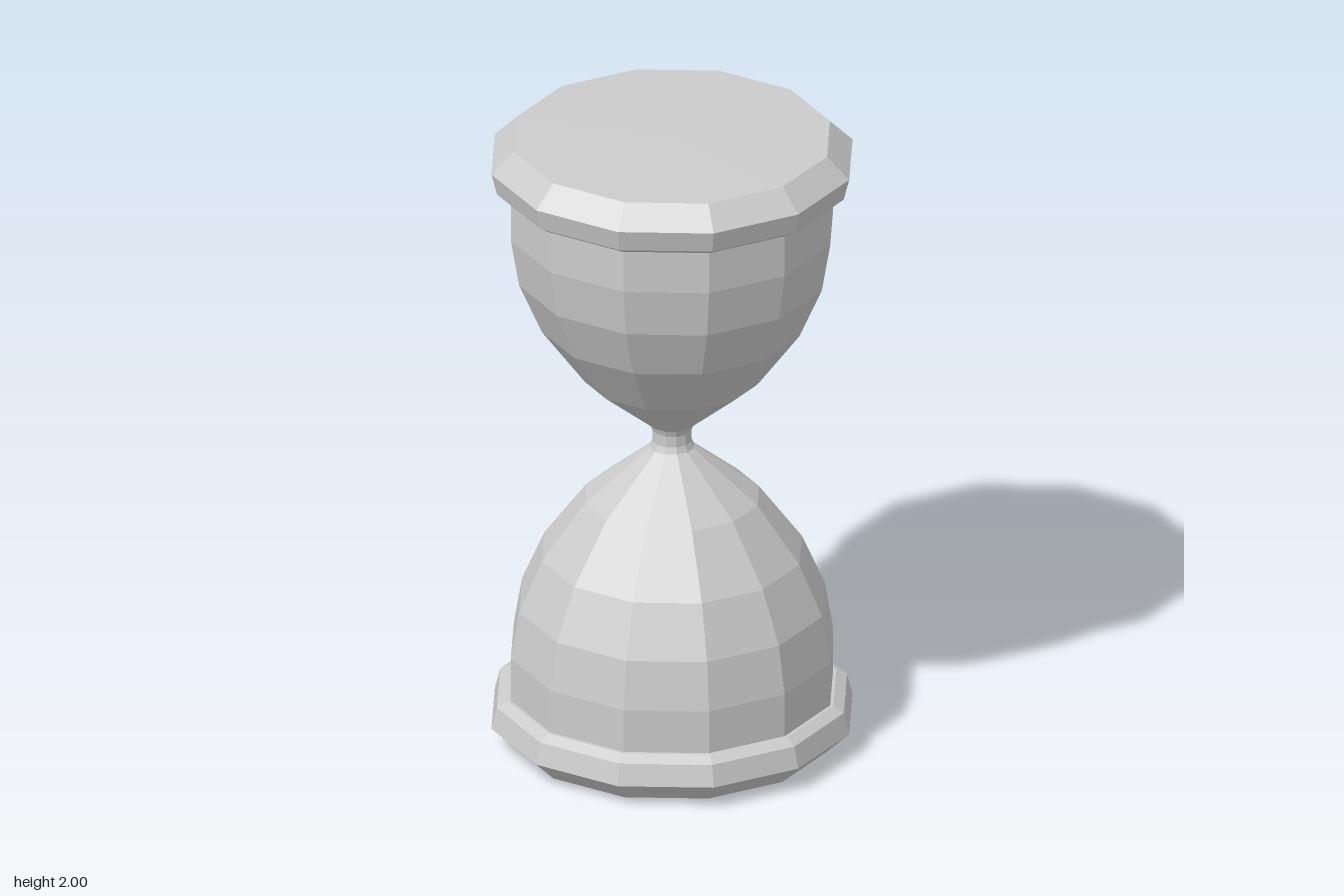
import * as THREE from 'three';

const SIDES = 12;
const material = new THREE.MeshStandardMaterial({ color: 0xcccccc, flatShading: true });

// Faceted solid of revolution from [radius, y] pairs listed bottom to top
function turned(name, profile) {
  const points = profile.map(([r, y]) => new THREE.Vector2(r, y));
  const mesh = new THREE.Mesh(new THREE.LatheGeometry(points, SIDES), material);
  mesh.name = name;
  return mesh;
}

// Flip a profile about the waist at y = 1, keeping it bottom to top
const mirrored = (profile) => profile.map(([r, y]) => [r, 2 - y]).reverse();

export function createModel() {
  const group = new THREE.Group();
  group.name = 'hourglass';

  // End cap: faintly domed face, bevelled rim, small step in to the glass
  const cap = [[0, 0], [0.49, 0.007], [0.56, 0.075], [0.543, 0.143], [0.51, 0.163], [0.5, 0.163]];
  group.add(turned('bottomCap', cap));
  group.add(turned('topCap', mirrored(cap)));

  // Glass: two bulbs meeting at a narrow neck
  const bulb = [
    [0.5, 0.163], [0.5, 0.302], [0.474, 0.455], [0.403, 0.618],
    [0.27, 0.798], [0.068, 0.962], [0.06, 0.982],
  ];
  group.add(turned('glass', [...bulb, ...mirrored(bulb)]));

  return group;
}
